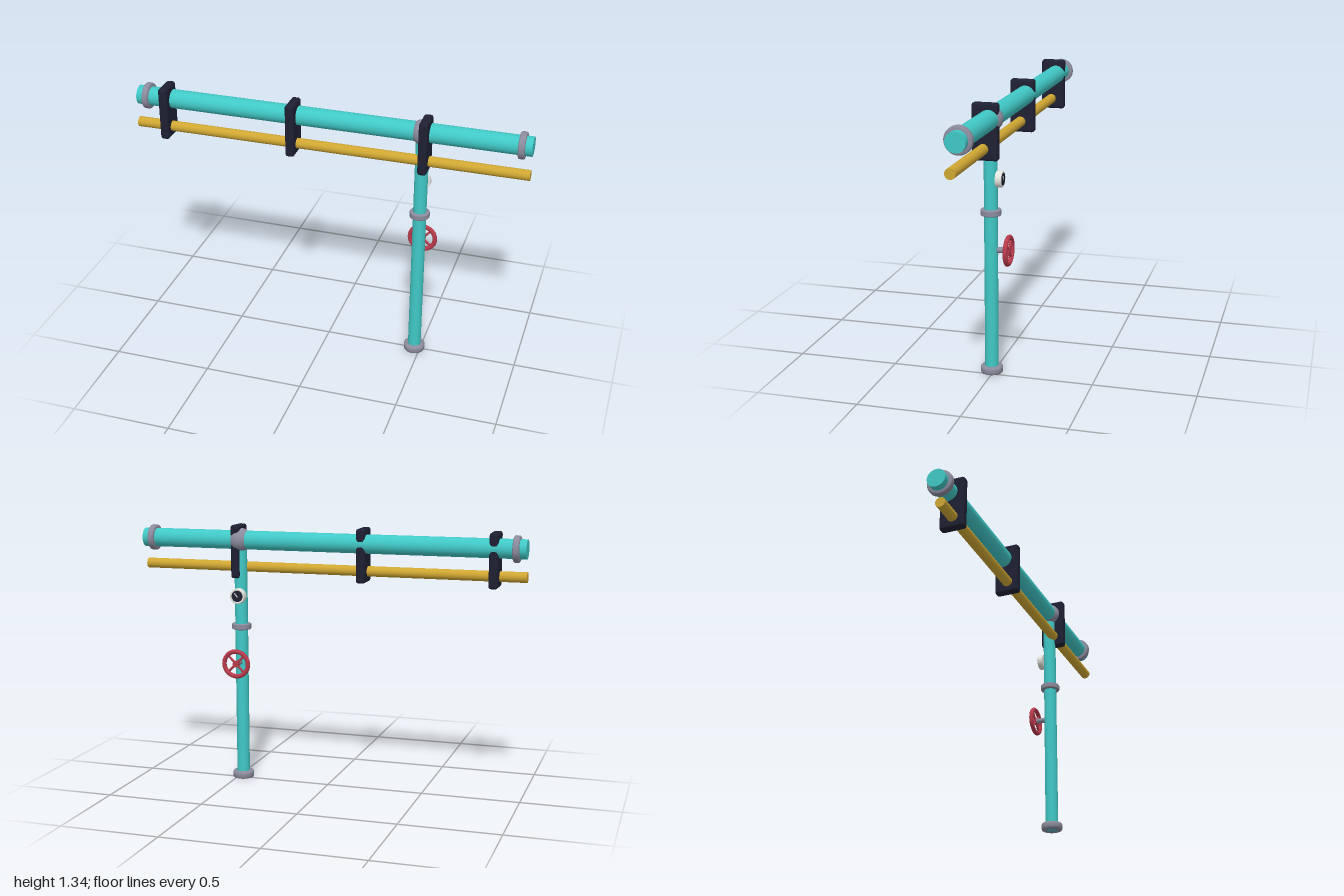
import * as THREE from 'three';
import { RoundedBoxGeometry } from 'three/addons/geometries/RoundedBoxGeometry.js';
import { toCreasedNormals } from 'three/addons/utils/BufferGeometryUtils.js';

const paint = (name, color) => {
  const m = new THREE.MeshStandardMaterial({ color });
  m.name = name;
  return m;
};

export function createModel() {
  const model = new THREE.Group();
  model.name = 'pipeAssembly';
  const teal = paint('teal', 0x40c8c6);
  const yellow = paint('yellow', 0xcfa632);
  const dark = paint('darkNavy', 0x1e2033);
  const grey = paint('grey', 0x8b8b9d);
  const red = paint('red', 0xb83a4b);
  const white = paint('white', 0xe4e4de);

  const PX = 0.471, PZ = 0.007, PY = 1.261; // riser position and main pipe height

  const add = (name, geo, mat, x, y, z, parent = model) => {
    const m = new THREE.Mesh(geo, mat);
    m.name = name;
    m.position.set(x, y, z);
    parent.add(m);
    return m;
  };
  // Solid rod along a chosen axis
  const rod = (r, len, axis, seg = 32) => {
    const g = new THREE.CylinderGeometry(r, r, len, seg);
    if (axis === 'x') g.rotateZ(Math.PI / 2);
    if (axis === 'z') g.rotateX(Math.PI / 2);
    return g;
  };
  // Flange ring with softened rims
  const flange = (r, len, bevel, axis) => {
    const h = len / 2;
    const pts = [[0, -h], [r - bevel, -h], [r - bevel * 0.3, -h + bevel * 0.3], [r, -h + bevel],
      [r, h - bevel], [r - bevel * 0.3, h - bevel * 0.3], [r - bevel, h], [0, h]]
      .map(([a, b]) => new THREE.Vector2(a, b));
    const g = toCreasedNormals(new THREE.LatheGeometry(pts, 40), 0.9);
    if (axis === 'x') g.rotateZ(Math.PI / 2);
    return g;
  };

  // Horizontal pipes
  add('mainPipe', rod(0.048, 2, 'x', 40), teal, 0, PY, PZ);
  add('conduit', rod(0.026, 2, 'x'), yellow, 0, 1.122, 0.032);
  for (const s of [-1, 1]) add('endCollar', flange(0.066, 0.032, 0.007, 'x'), grey, s * 0.95, PY, PZ);

  // Support brackets
  for (const x of [-0.843, -0.178, 0.488])
    add('bracket', new RoundedBoxGeometry(0.046, 0.273, 0.128, 3, 0.014), dark, x, 1.2025, 0.025);

  // Riser pipe with joint, coupling and foot
  add('riserPipe', rod(0.033, PY, 'y'), teal, PX, PY / 2, PZ);
  add('joint', new THREE.SphereGeometry(0.061, 32, 20), grey, PX, PY, PZ);
  add('coupling', flange(0.05, 0.031, 0.006, 'y'), grey, PX, 0.813, PZ);
  add('footFlange', flange(0.054, 0.038, 0.008, 'y'), grey, PX, 0.019, PZ);

  // Valve wheel on the back of the riser
  const valve = new THREE.Group();
  valve.name = 'valve';
  valve.position.set(PX, 0.628, -0.079);
  model.add(valve);
  add('valveStem', rod(0.014, 0.06, 'z', 20), grey, 0, 0, 0.03, valve);
  add('wheelRim', new THREE.TorusGeometry(0.065, 0.0115, 14, 40), red, 0, 0, 0, valve);
  add('wheelHub', rod(0.017, 0.016, 'z', 20), red, 0, 0, 0, valve);
  for (const s of [-1, 1])
    add('wheelSpoke', rod(0.006, 0.128, 'y', 12), red, 0, 0, 0, valve).rotation.z = s * Math.PI / 4;

  // Pressure gauge on the back of the riser
  const gauge = new THREE.Group();
  gauge.name = 'gauge';
  gauge.position.set(PX, 0.976, 0);
  model.add(gauge);
  add('gaugeBody', rod(0.04, 0.026, 'z'), white, 0, 0, -0.036, gauge);
  add('gaugeBezel', new THREE.TorusGeometry(0.034, 0.006, 10, 32), white, 0, 0, -0.048, gauge);
  add('gaugeFace', rod(0.029, 0.008, 'z'), dark, 0, 0, -0.051, gauge);
  add('gaugeNeedle', new THREE.BoxGeometry(0.005, 0.026, 0.003), white, 0.005, 0.006, -0.056, gauge).rotation.z = -0.7;

  return model;
}
